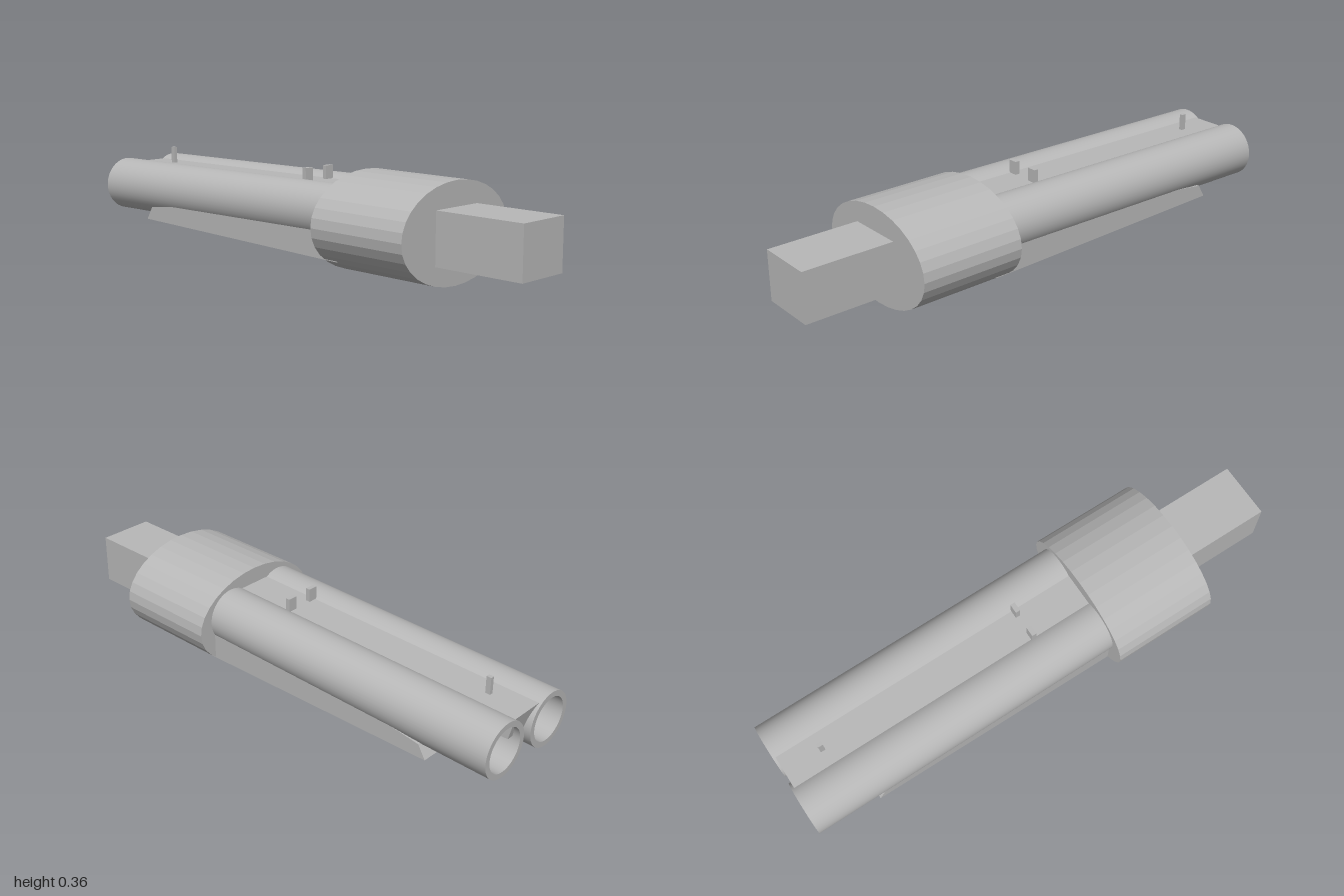
import * as THREE from 'three';
import { toCreasedNormals } from 'three/addons/utils/BufferGeometryUtils.js';

const grey = new THREE.MeshStandardMaterial({ color: 0xb8b8b8 });
grey.name = 'plain grey';

function add(parent, name, geometry, x = 0, y = 0, z = 0) {
  const mesh = new THREE.Mesh(geometry, grey);
  mesh.name = name;
  mesh.position.set(x, y, z);
  parent.add(mesh);
  return mesh;
}

// Box given by its minimum and maximum corners
function block(parent, name, [x0, y0, z0], [x1, y1, z1]) {
  return add(parent, name, new THREE.BoxGeometry(x1 - x0, y1 - y0, z1 - z0),
    (x0 + x1) / 2, (y0 + y1) / 2, (z0 + z1) / 2);
}

// Side profile in x and y, extruded evenly about z = 0
function slab(parent, name, points, width) {
  const shape = new THREE.Shape(points.map(([x, y]) => new THREE.Vector2(x, y)));
  const geometry = new THREE.ExtrudeGeometry(shape, { depth: width, bevelEnabled: false });
  geometry.translate(0, 0, -width / 2);
  return add(parent, name, geometry);
}

export function createModel() {
  const model = new THREE.Group();
  model.name = 'doubleBarrelAssembly';

  // Twin hollow barrels, rising very slightly towards the breech
  const barrels = new THREE.Group();
  barrels.name = 'barrels';
  barrels.position.set(-1, 0.198, 0);
  barrels.rotation.z = 0.0117;
  model.add(barrels);
  const outer = 0.103, bore = 0.082, length = 1.3;
  const profile = [[0, 1.25], [bore, 1.25], [bore, 0], [outer, 0], [outer, length], [0, length]]
    .map(([r, y]) => new THREE.Vector2(r, y));
  const tube = toCreasedNormals(new THREE.LatheGeometry(profile, 48).rotateZ(-Math.PI / 2), 0.6);
  for (const side of [-1, 1]) {
    add(barrels, side > 0 ? 'frontBarrel' : 'backBarrel', tube, 0, 0, side * 0.122);
  }

  // Flat rib filling the valley between the barrels
  slab(barrels, 'rib', [[0.03, 0.0], [length, 0.0], [length, 0.086], [0.01, 0.086]], 0.13);

  // Sights
  block(model, 'frontSight', [-0.85, 0.27, -0.007], [-0.831, 0.35, 0.007]);
  for (const side of [-1, 1]) {
    const z = side * 0.053;
    block(model, 'rearSight', [-0.009, 0.28, z - 0.018], [0.009, 0.346, z + 0.018]);
  }

  // Wedge-shaped fore-end under the barrels
  slab(model, 'foreEnd',
    [[-0.755, 0.084], [0.3, 0.06], [0.3, 0.165], [-0.6, 0.15], [-0.725, 0.134]], 0.42);

  // Faceted oval breech
  const breech = new THREE.CylinderGeometry(1, 1, 0.41, 32).rotateZ(-Math.PI / 2);
  breech.scale(1, 0.1795, 0.279);
  add(model, 'breech', toCreasedNormals(breech, 0.05), 0.447, 0.1805, 0);

  // Square rear block
  block(model, 'rearBlock', [0.6, 0.081, -0.108], [1, 0.27, 0.108]);

  return model;
}
